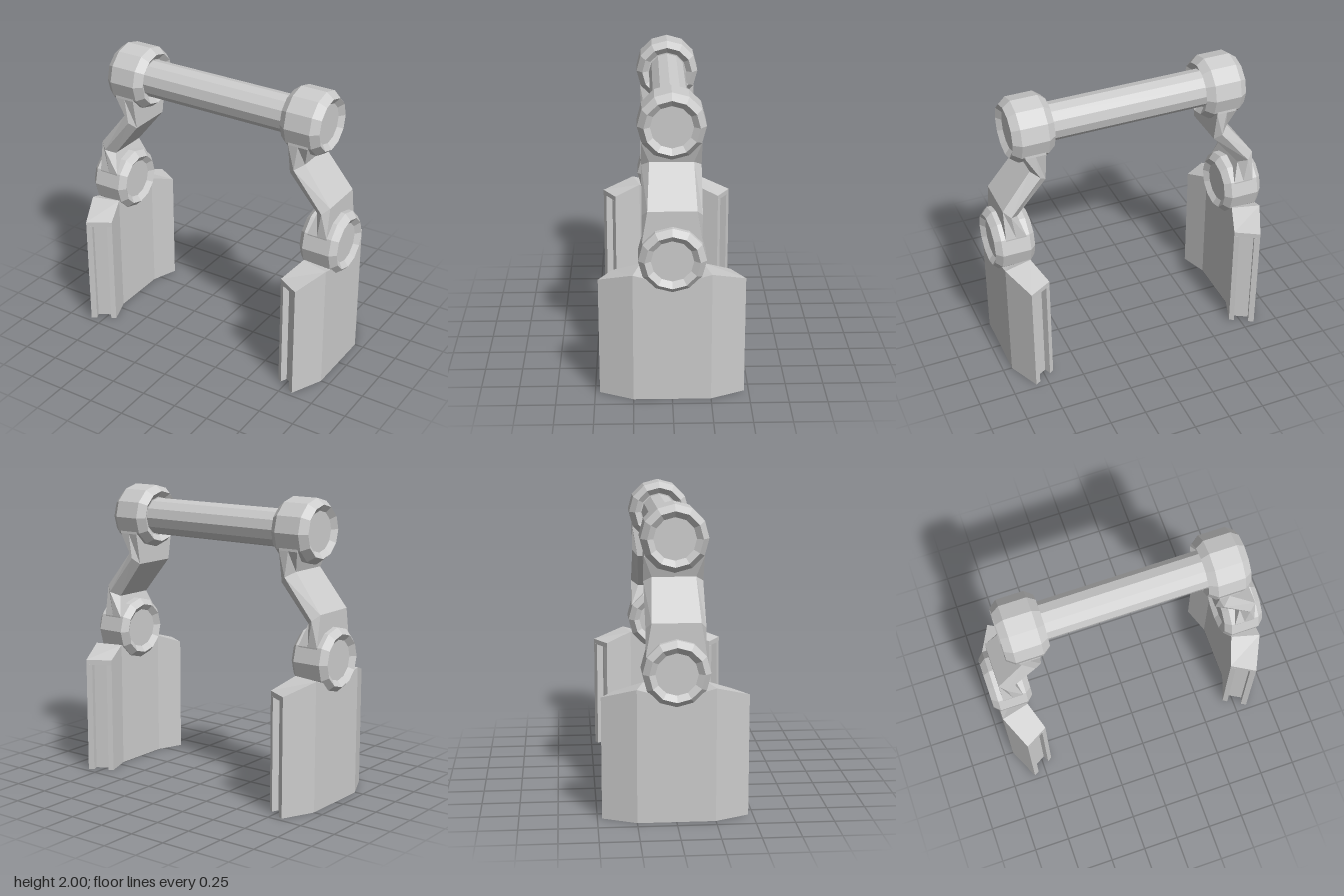
import * as THREE from 'three';

const material = new THREE.MeshStandardMaterial({ color: 0xcccccc, flatShading: true });

function mesh(name, geometry) {
  const m = new THREE.Mesh(geometry, material);
  m.name = name;
  return m;
}

// Twelve-sided joint along x, chamfered, with a dished recess in each end
function hub(name, x, y, half, chamfer) {
  const end = [[0, half - 0.03], [0.135, half - 0.03], [0.175, half], [0.215, half - chamfer]];
  const profile = [
    ...end.map(([r, h]) => new THREE.Vector2(r, -h)),
    ...end.reverse().map(([r, h]) => new THREE.Vector2(r, h)),
  ];
  const m = mesh(name, new THREE.LatheGeometry(profile, 12).rotateZ(Math.PI / 2));
  m.position.set(x, y, 0);
  return m;
}

// Cranked link: each section is [outer, ridge, inner] as [x, y, half depth]
function arm() {
  const sections = [
    [[0.74, 1.79, 0.18], [0.67, 1.79, 0.18], [0.6, 1.79, 0.18]],
    [[0.74, 1.67, 0.19], [0.67, 1.67, 0.19], [0.6, 1.67, 0.19]],
    [[0.7, 1.535, 0.14], [0.645, 1.5, 0.19], [0.6, 1.46, 0.155]],
    [[0.9, 1.28, 0.155], [0.855, 1.24, 0.19], [0.8, 1.21, 0.14]],
    [[0.9, 1.07, 0.19], [0.83, 1.07, 0.19], [0.76, 1.07, 0.19]],
    [[0.9, 0.96, 0.18], [0.83, 0.96, 0.18], [0.76, 0.96, 0.18]],
  ];
  const positions = [];
  const index = [];
  sections.forEach((s, i) => {
    const ring = [...s, ...s.slice().reverse().map(([x, y, z]) => [x, y, -z])];
    ring.forEach((p) => positions.push(...p));
    if (i === sections.length - 1) return;
    for (let j = 0; j < 6; j++) {
      const a = i * 6 + j, b = i * 6 + (j + 1) % 6;
      index.push(a, b, a + 6, b, b + 6, a + 6);
    }
  });
  const g = new THREE.BufferGeometry();
  g.setAttribute('position', new THREE.Float32BufferAttribute(positions, 3));
  g.setIndex(index);
  g.computeVertexNormals();
  return mesh('arm', g);
}

// Bent hanging panel with a slot down each end
function panel() {
  const slotTop = 0.765;
  const outer = [[0.835, -0.47], [0.937, -0.25], [0.937, 0], [0.937, 0.25], [0.835, 0.47]];
  const inner = [[0.68, -0.38], [0.745, -0.2], [0.745, 0], [0.745, 0.2], [0.68, 0.38]];
  const top = [0.8, 0.87, 0.8, 0.87, 0.8];
  const slot = [[0.8, 0.45], [0.82, 0.405], [0.73, 0.355], [0.71, 0.4]];

  // Slotted lower body
  const outline = [
    ...outer, ...slot,
    ...inner.slice().reverse(),
    ...slot.slice().reverse().map(([x, z]) => [x, -z]),
  ];
  const shape = new THREE.Shape(outline.map(([x, z]) => new THREE.Vector2(x, z)));
  const body = new THREE.ExtrudeGeometry(shape, { depth: slotTop, bevelEnabled: false });
  body.rotateX(Math.PI / 2).translate(0, slotTop, 0);

  // Solid cap with a peaked top edge
  const cap = new THREE.BoxGeometry(1, 1, 1, 1, 1, 4);
  const p = cap.attributes.position;
  for (let i = 0; i < p.count; i++) {
    const k = Math.round((p.getZ(i) + 0.5) * 4);
    const [x, z] = (p.getX(i) > 0 ? outer : inner)[k];
    p.setXYZ(i, x, p.getY(i) > 0 ? top[k] : slotTop, z);
  }
  cap.computeVertexNormals();

  const group = new THREE.Group();
  group.name = 'panel';
  group.add(mesh('panelBody', body), mesh('panelCap', cap));
  return group;
}

export function createModel() {
  const model = new THREE.Group();
  model.name = 'hangingPanelFrame';

  // Crossbar
  const bar = mesh('crossbar', new THREE.CylinderGeometry(0.127, 0.127, 1.2, 12).rotateZ(Math.PI / 2));
  bar.position.y = 1.785;
  model.add(bar);

  // Both sides: the same assembly turned half a circle
  ['left', 'right'].forEach((side, i) => {
    const group = new THREE.Group();
    group.name = side + 'Side';
    group.add(
      hub('upperHub', 0.67, 1.785, 0.143, 0.052),
      arm(),
      hub('lowerHub', 0.835, 0.965, 0.137, 0.04),
      panel(),
    );
    group.rotation.y = i * Math.PI;
    model.add(group);
  });
  return model;
}
